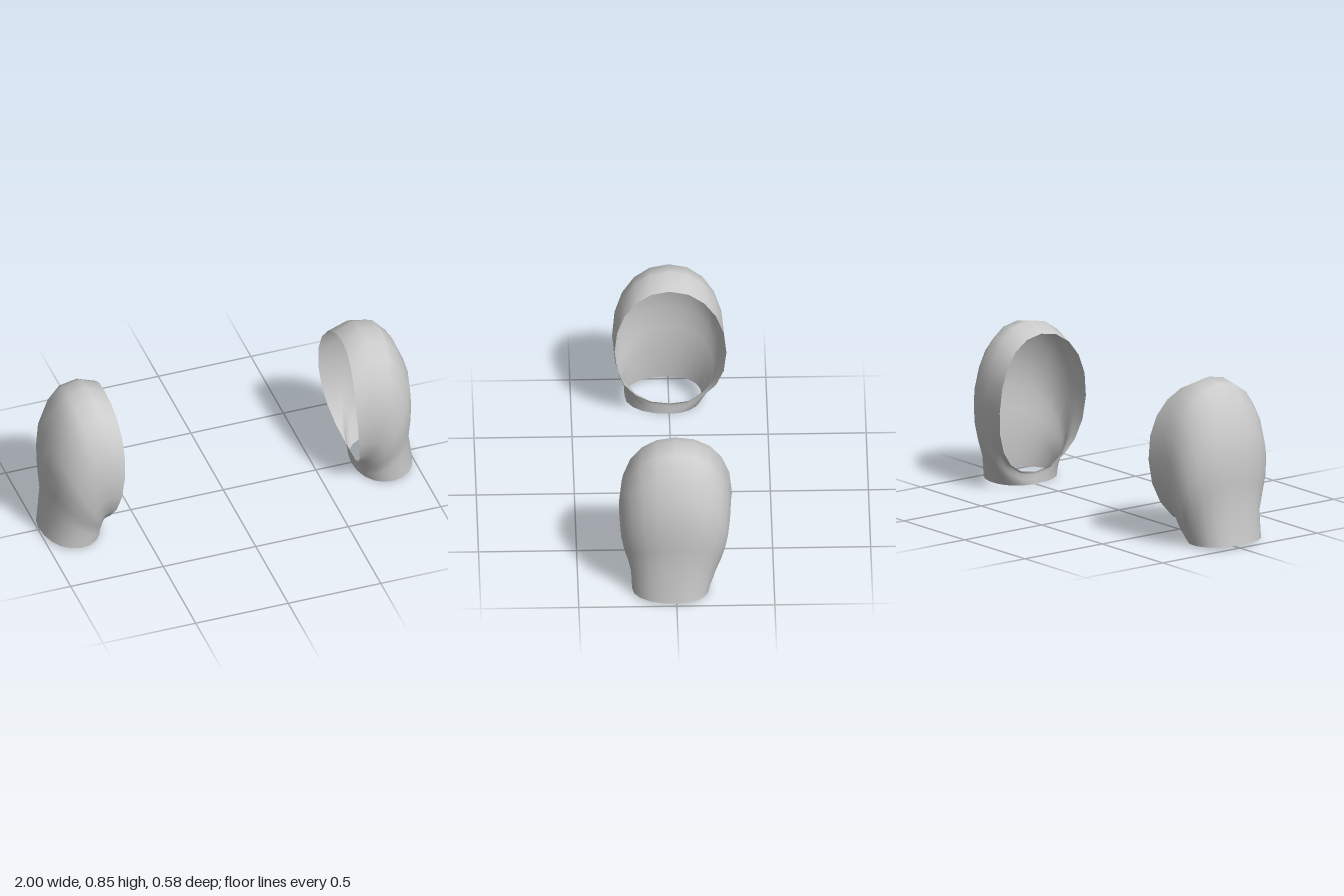
import * as THREE from 'three';

// Cross-sections swept from the body opening round to the arm cuff:
// outer x, outer y, inner x, inner y, front depth, back depth, front bow, back bow
const SECTIONS = [
  [0.64, 0.80, 0.69, 0.065, 0.28, 0.29, 0.035, 0.05],
  [0.74, 0.85, 0.69, 0.06, 0.288, 0.283, 0.01, 0.01],
  [0.84, 0.83, 0.69, 0.055, 0.29, 0.28, 0, 0],
  [0.91, 0.75, 0.69, 0.05, 0.287, 0.276, 0, 0],
  [0.97, 0.60, 0.69, 0.04, 0.28, 0.265, 0, 0],
  [0.985, 0.46, 0.69, 0.03, 0.265, 0.25, 0, 0],
  [0.985, 0.34, 0.69, 0.02, 0.245, 0.23, 0, 0],
  [0.975, 0.20, 0.69, 0.012, 0.23, 0.203, 0, 0],
  [1.0, 0.015, 0.69, 0, 0.225, 0.17, 0, 0],
];
const AROUND = 20;

// Slightly squared ellipse
const soften = (v) => Math.sign(v) * Math.pow(Math.abs(v), 0.93);

function sleeveGeometry(side) {
  const positions = [];
  const indices = [];
  for (const [ox, oy, ix, iy, front, back, bowFront, bowBack] of SECTIONS) {
    for (let j = 0; j < AROUND; j++) {
      const u = (j / AROUND) * Math.PI * 2;
      const c = soften(Math.cos(u));
      const s = soften(Math.sin(u));
      const bow = (s > 0 ? bowFront : bowBack) * s * s;
      const x = (ox + ix) / 2 + ((ox - ix) / 2) * c - bow;
      const y = (oy + iy) / 2 + ((oy - iy) / 2) * c;
      positions.push(side * x, y, s * (s > 0 ? front : back));
    }
  }
  for (let i = 0; i < SECTIONS.length - 1; i++) {
    for (let j = 0; j < AROUND; j++) {
      const k = (j + 1) % AROUND;
      const a = i * AROUND + j, b = i * AROUND + k;
      const c = a + AROUND, d = b + AROUND;
      if (side > 0) indices.push(a, b, c, b, d, c);
      else indices.push(a, c, b, b, c, d);
    }
  }
  const geometry = new THREE.BufferGeometry();
  geometry.setAttribute('position', new THREE.Float32BufferAttribute(positions, 3));
  geometry.setIndex(indices);
  geometry.computeVertexNormals();
  return geometry;
}

export function createModel() {
  const group = new THREE.Group();
  group.name = 'shoulderSleeves';
  // Thin open shells, one per shoulder
  const material = new THREE.MeshStandardMaterial({ color: 0xcccccc, side: THREE.DoubleSide });
  for (const [name, side] of [['leftSleeve', 1], ['rightSleeve', -1]]) {
    const sleeve = new THREE.Mesh(sleeveGeometry(side), material);
    sleeve.name = name;
    group.add(sleeve);
  }
  return group;
}
